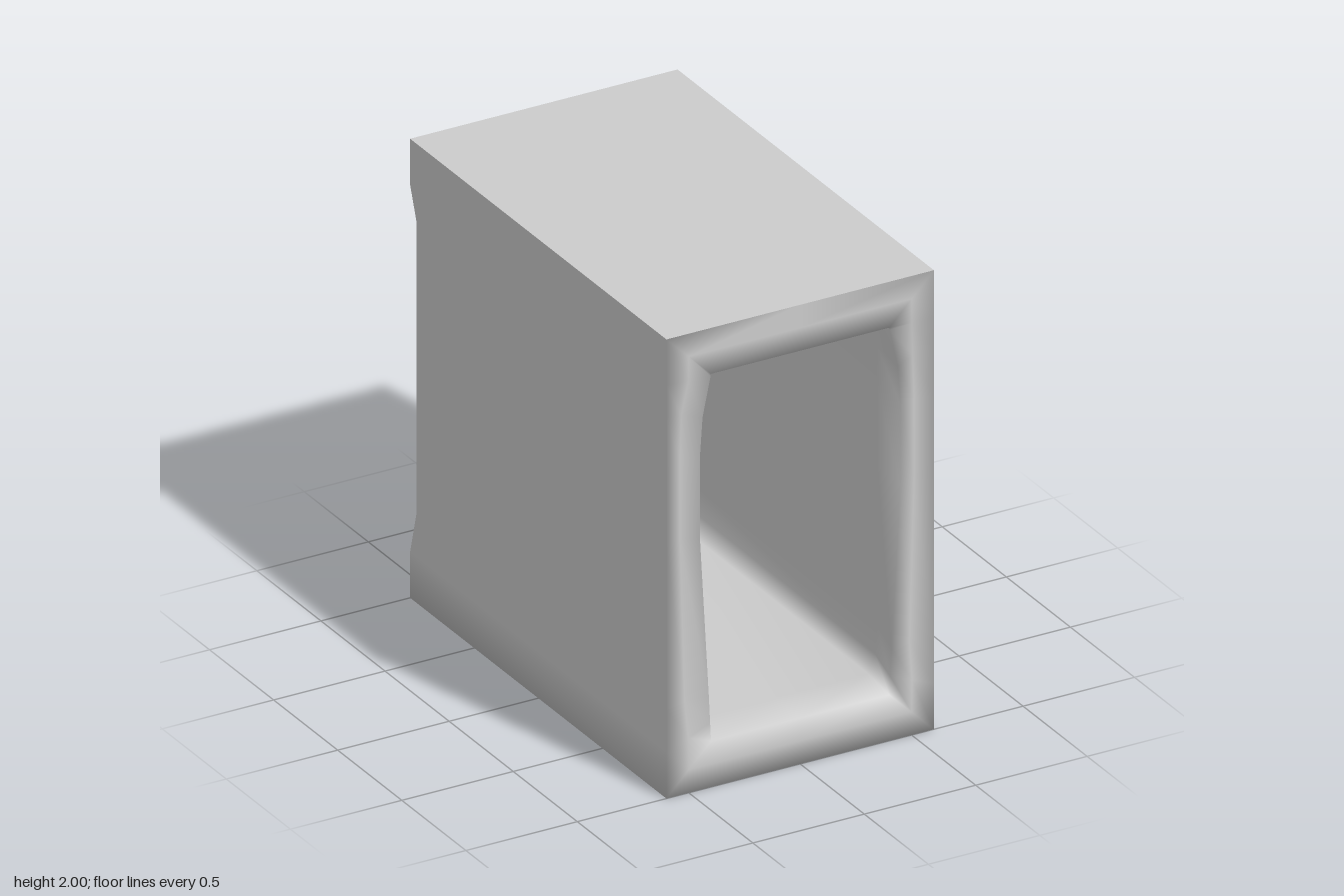
import * as THREE from 'three';

// Mirror a half outline (bottom centre -> up the left side -> top centre) into a closed ring
function closeRing(half) {
  const inner = half.slice(1, -1).reverse().map(([x, y, z]) => [-x, y, z]);
  return [...half, ...inner];
}

const mix = (a, b, t) => a.map((v, k) => v + (b[k] - v) * t);

export function createModel() {
  const group = new THREE.Group();
  const material = new THREE.MeshStandardMaterial({ color: 0xcccccc, side: THREE.DoubleSide });

  // Half outlines in x, y
  const outer = [[0, 0], [0.6, 0], [0.6, 0.2], [0.6, 0.39], [0.6, 1.1], [0.6, 1.45],
    [0.6, 1.66], [0.6, 1.8], [0.6, 2], [0, 2]];
  const upper = [[0.41, 0.4], [0.45, 1.1], [0.45, 1.45], [0.438, 1.62], [0.402, 1.79], [0.4, 1.8], [0, 1.8]];
  const frontOpening = [[0, 0.2], [0.4, 0.2], [0.404, 0.28], ...upper];
  const backOpening = [[0, 0.2], [0.3, 0.25], [0.36, 0.325], ...upper];
  const tunnel = [[0, 0.2], [0.42, 0.2], [0.45, 0.28], [0.46, 0.4], [0.46, 1.1], [0.46, 1.45],
    [0.46, 1.62], [0.45, 1.78], [0.45, 1.8], [0, 1.8]];

  const at = (points, z) => points.map(([x, y]) => [x, y, z]);
  const isPost = (i) => i >= 3 && i <= 6;
  const between = (a, b, zOf) => a.map((p, i) => [...mix(p, b[i], 0.5), zOf(i)]);

  // Loops run from the front rim, through the tunnel, to the back rim
  const loops = [
    at(outer, 1),
    between(outer, frontOpening, (i) => (isPost(i) ? 0.975 : 1)),
    at(frontOpening, 1),
    at(tunnel, 0.8),
    at(tunnel, -0.8),
    at(backOpening, -1),
    between(outer, backOpening, () => -1),
    outer.map(([x, y], i) => [x, y, isPost(i) ? -0.95 : -1]),
  ].map(closeRing);

  const n = loops[0].length;
  const topIndex = outer.length - 1;
  const index = [];
  loops.forEach((_, j) => {
    const k = (j + 1) % loops.length;
    for (let i = 0; i < n; i++) {
      // The flat top is a separate panel with a sharp edge
      if (k === 0 && (i === topIndex - 1 || i === topIndex)) continue;
      const m = (i + 1) % n;
      const [a, b, c, d] = [j * n + i, j * n + m, k * n + m, k * n + i];
      index.push(a, b, c, a, c, d);
    }
  });
  const geometry = new THREE.BufferGeometry();
  geometry.setAttribute('position', new THREE.Float32BufferAttribute(loops.flat(2), 3));
  geometry.setIndex(index);
  geometry.computeVertexNormals();
  const shell = new THREE.Mesh(geometry, material);
  shell.name = 'hollowCasing';
  group.add(shell);

  // Flat top
  const top = new THREE.Mesh(new THREE.PlaneGeometry(1.2, 2).rotateX(-Math.PI / 2), material);
  top.position.y = 2;
  top.name = 'topPanel';
  group.add(top);

  return group;
}
